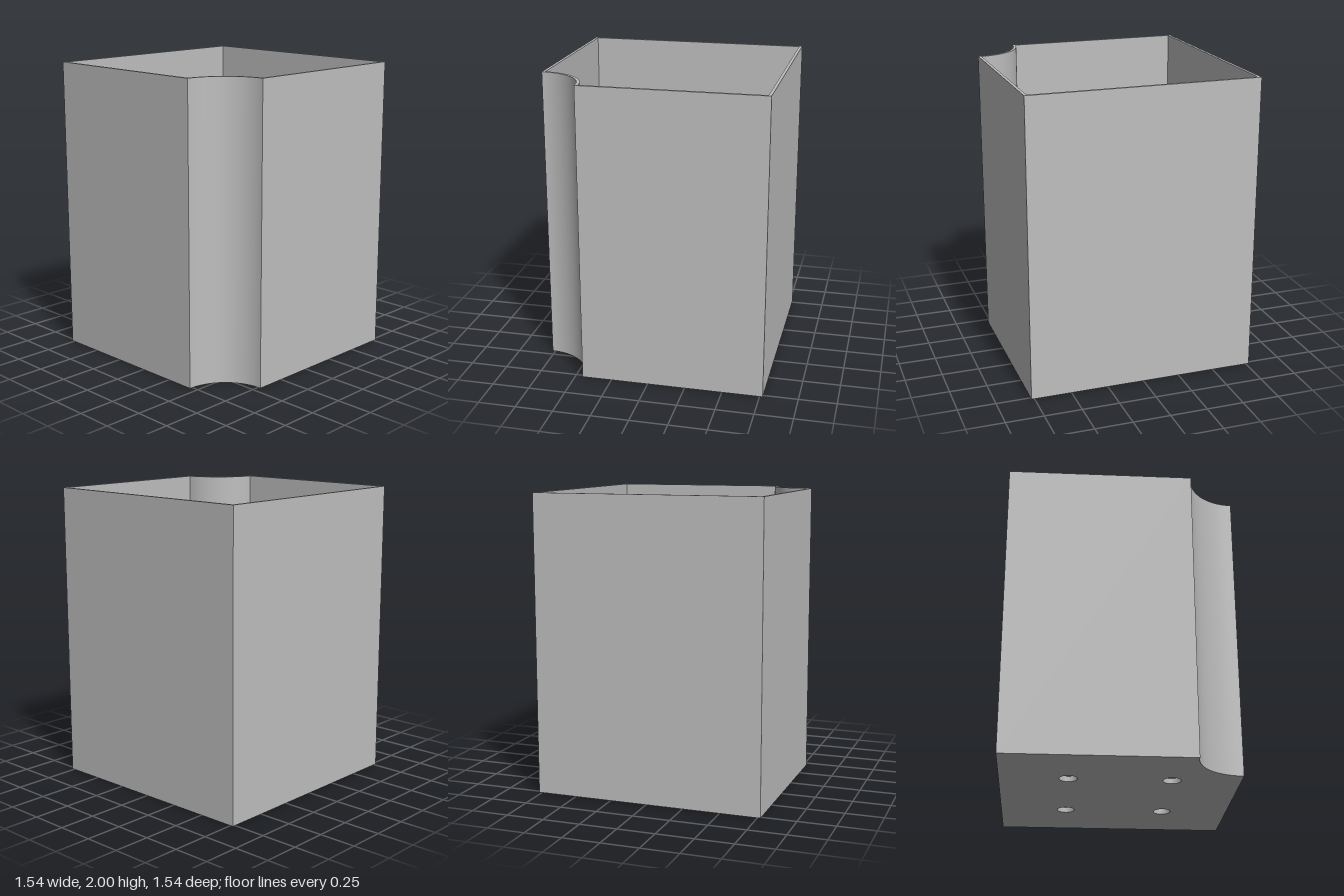
import * as THREE from 'three';

const HALF = 0.77, HEIGHT = 2, WALL = 0.02, NOTCH = 0.32;
const FLOOR = 0.06, RECESS_DEPTH = 0.035, RECESS_RADIUS = 0.058, RECESS_OFFSET = 0.33;

// Square plan with a concave quarter-round front corner; inset moves it inwards
function planShape(inset) {
  const h = HALF - inset, r = NOTCH + inset;
  const end = Math.asin(inset / r), start = Math.PI / 2 - end;
  const s = new THREE.Shape();
  s.moveTo(-HALF + r * Math.cos(end), -h);
  s.lineTo(h, -h);
  s.lineTo(h, h);
  s.lineTo(-h, h);
  s.absarc(-HALF, -HALF, r, start, end, true);
  return s;
}

function circlePath(x, y, r) {
  const s = new THREE.Shape();
  s.absarc(x, y, r, 0, Math.PI * 2, false);
  return s;
}

// Flat face at height y, facing up or down
function face(shape, y, down = false) {
  const g = new THREE.ShapeGeometry(shape, 40);
  g.rotateX(-Math.PI / 2).translate(0, y, 0);
  if (down) {
    g.index.array.reverse();
    g.computeVertexNormals();
  }
  return g;
}

// Vertical skin along a plan outline, facing out or in
function skin(shape, y0, y1, inward = false) {
  const pts = shape.getPoints(40);
  if (inward) pts.reverse();
  const pos = [];
  pts.forEach((a, i) => {
    const b = pts[(i + 1) % pts.length];
    if (a.distanceTo(b) < 1e-6) return;
    pos.push(a.x, y0, -a.y, b.x, y0, -b.y, b.x, y1, -b.y);
    pos.push(a.x, y0, -a.y, b.x, y1, -b.y, a.x, y1, -a.y);
  });
  const g = new THREE.BufferGeometry();
  g.setAttribute('position', new THREE.Float32BufferAttribute(pos, 3));
  g.computeVertexNormals();
  return g;
}

export function createModel() {
  const group = new THREE.Group();
  group.name = 'notchedBin';
  const grey = new THREE.MeshStandardMaterial({ color: 0xbfbfbf, side: THREE.DoubleSide });
  grey.name = 'grey';
  const add = (name, geometry) => {
    const mesh = new THREE.Mesh(geometry, grey);
    mesh.name = name;
    group.add(mesh);
  };

  // Thin walls with their top rim
  const outer = planShape(0), inner = planShape(WALL);
  add('outerWall', skin(outer, 0, HEIGHT));
  add('innerWall', skin(inner, FLOOR, HEIGHT, true));
  const rim = planShape(0);
  rim.holes.push(inner);
  add('rim', face(rim, HEIGHT));
  add('floor', face(inner, FLOOR));

  // Underside with four round blind recesses
  const base = planShape(0);
  for (const sx of [-1, 1]) {
    for (const sy of [-1, 1]) {
      const circle = circlePath(sx * RECESS_OFFSET, sy * RECESS_OFFSET, RECESS_RADIUS);
      base.holes.push(circle);
      add('recessWall', skin(circle, 0, RECESS_DEPTH, true));
      add('recessCeiling', face(circle, RECESS_DEPTH, true));
    }
  }
  add('underside', face(base, 0, true));

  return group;
}
